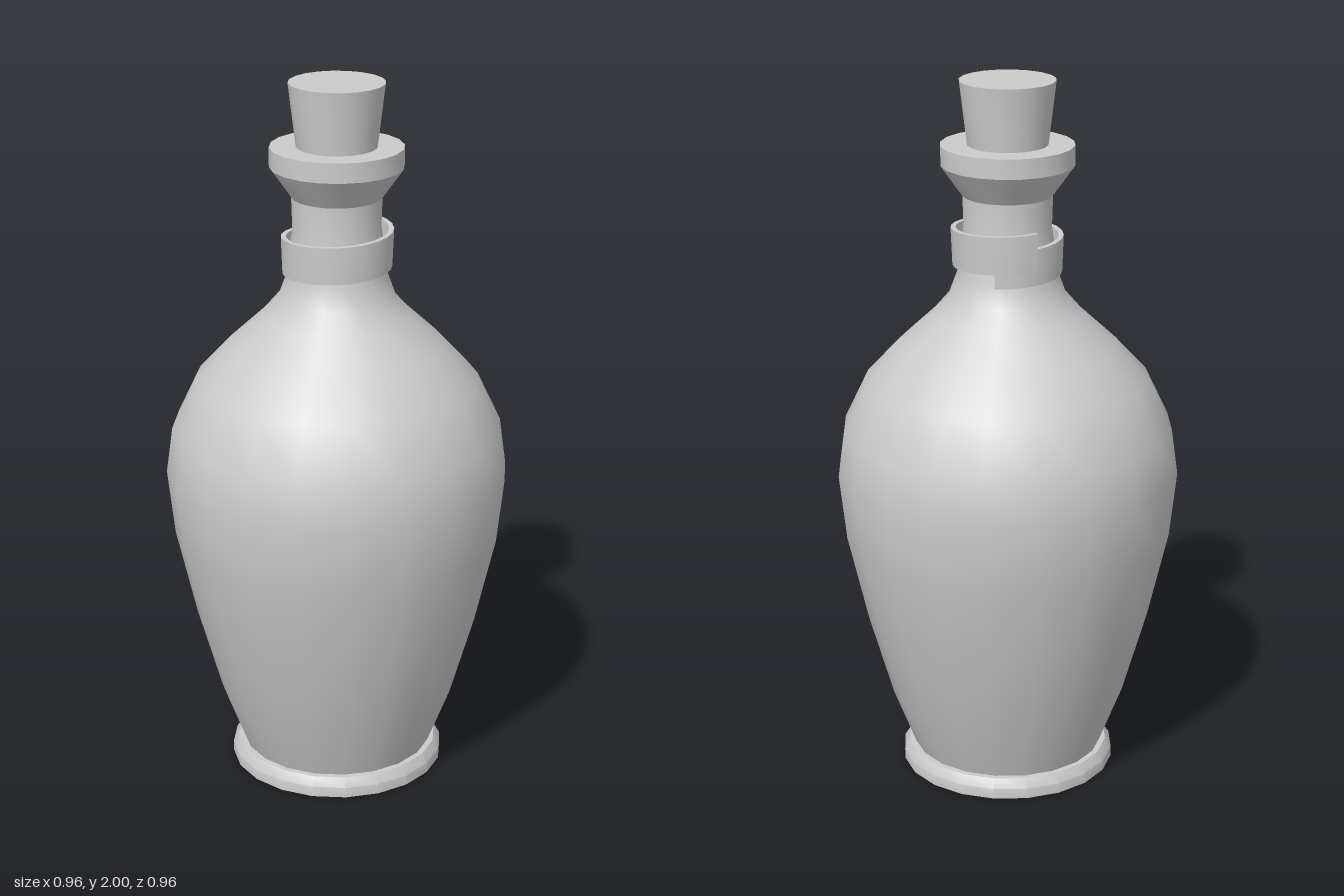
import * as THREE from 'three';
import { toCreasedNormals } from 'three/addons/utils/BufferGeometryUtils.js';

const SIDES = 20;
const material = new THREE.MeshStandardMaterial({ color: 0xcccccc });

// Turned part from [radius, height] pairs, listed bottom to top
function turned(name, profile) {
  const points = profile.map(([r, y]) => new THREE.Vector2(r, y));
  const geometry = toCreasedNormals(new THREE.LatheGeometry(points, SIDES), 0.6);
  const mesh = new THREE.Mesh(geometry, material);
  mesh.name = name;
  return mesh;
}

// Strip wound round the neck for a little over one turn, rising as it goes
function neckWrap() {
  const steps = 28, thickness = 0.014;
  const start = THREE.MathUtils.degToRad(-150), end = THREE.MathUtils.degToRad(255);
  const positions = [], index = [];
  for (let i = 0; i <= steps; i++) {
    const t = i / steps, a = THREE.MathUtils.lerp(start, end, t);
    const bottom = 1.458 + 0.045 * t, top = 1.56 + 0.05 * t;
    const rBottom = 0.149 + 0.004 * t, rTop = 0.152 + 0.006 * t;
    const section = [
      [rBottom - thickness, bottom], [rBottom, bottom],
      [rTop, top], [rTop - thickness, top],
    ];
    for (const [r, y] of section) positions.push(r * Math.sin(a), y, r * Math.cos(a));
    if (i === steps) break;
    for (let k = 0; k < 4; k++) {
      const p = i * 4 + k, q = i * 4 + (k + 1) % 4;
      index.push(p, p + 4, q + 4, p, q + 4, q);
    }
  }
  // End caps
  const e = steps * 4;
  index.push(0, 1, 2, 0, 2, 3, e, e + 3, e + 2, e, e + 2, e + 1);
  const geometry = new THREE.BufferGeometry();
  geometry.setAttribute('position', new THREE.Float32BufferAttribute(positions, 3));
  geometry.setIndex(index);
  const mesh = new THREE.Mesh(toCreasedNormals(geometry, 0.6), material);
  mesh.name = 'neckWrap';
  return mesh;
}

export function createModel() {
  const bottle = new THREE.Group();
  bottle.name = 'bottle';
  bottle.add(
    turned('foot', [[0, 0], [0.305, 0], [0.305, 0.03], [0.288, 0.055], [0.2, 0.055]]),
    // Bulging body running up into the slim neck
    turned('body', [
      [0.27, 0.05], [0.335, 0.22], [0.403, 0.46], [0.46, 0.71], [0.48, 0.895],
      [0.462, 1.025], [0.395, 1.165], [0.305, 1.262], [0.205, 1.355], [0.162, 1.405],
      [0.14, 1.465], [0.122, 1.6], [0.125, 1.7],
    ]),
    neckWrap(),
    // Flared lip with a flat rim
    turned('lip', [
      [0.1, 1.685], [0.124, 1.685], [0.184, 1.77], [0.184, 1.825], [0.08, 1.825],
    ]),
    turned('stopper', [[0.11, 1.815], [0.132, 2], [0, 2]]),
  );
  return bottle;
}
